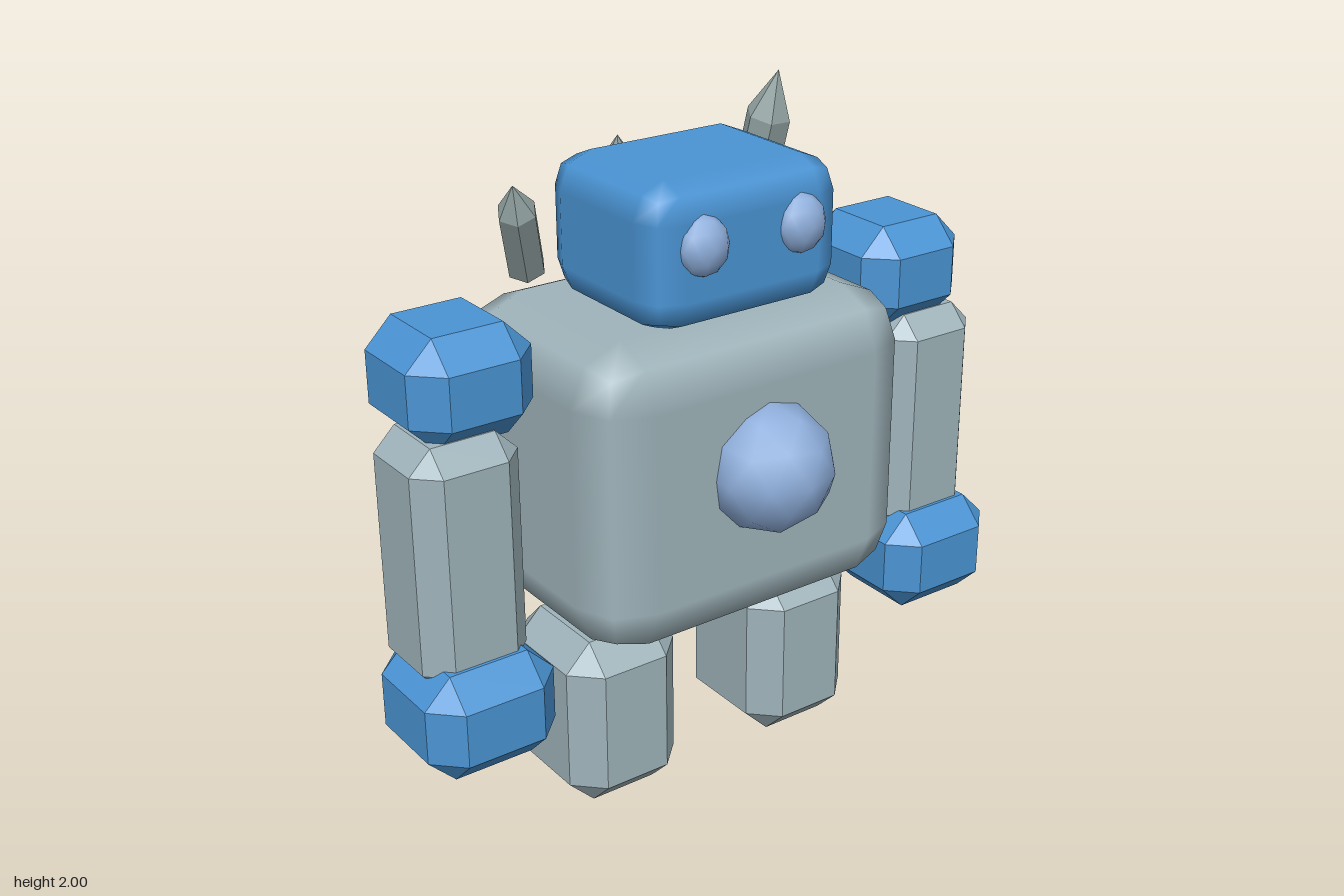
import * as THREE from 'three';
import { RoundedBoxGeometry } from 'three/addons/geometries/RoundedBoxGeometry.js';
import { ConvexGeometry } from 'three/addons/geometries/ConvexGeometry.js';

const mat = (name, color) => {
  const m = new THREE.MeshStandardMaterial({ color });
  m.name = name;
  return m;
};

// Box with flat 45 degree cuts along every edge
function chamferBox(w, h, d, c) {
  const half = [w / 2, h / 2, d / 2];
  const points = [];
  for (const sx of [-1, 1]) for (const sy of [-1, 1]) for (const sz of [-1, 1]) {
    for (let axis = 0; axis < 3; axis++) {
      const p = half.map((v, i) => (i === axis ? v : v - c));
      points.push(new THREE.Vector3(p[0] * sx, p[1] * sy, p[2] * sz));
    }
  }
  return new ConvexGeometry(points);
}

export function createModel() {
  const model = new THREE.Group();
  model.name = 'robot';
  const stone = mat('stone grey', 0x9fb4bb);
  const blue = mat('bright blue', 0x4a94d4);
  const glow = mat('pale blue', 0x8fafdc);
  const crystal = mat('crystal grey', 0x98a8a8);
  crystal.flatShading = true;

  const add = (name, geometry, material, x, y, z, parent = model) => {
    const mesh = new THREE.Mesh(geometry, material);
    mesh.name = name;
    mesh.position.set(x, y, z);
    parent.add(mesh);
    return mesh;
  };

  // Body and head with two-step rounded edges
  add('body', new RoundedBoxGeometry(1.06, 0.9, 0.795, 1, 0.16), stone, 0, 1.015, -0.0925);
  add('head', new RoundedBoxGeometry(0.635, 0.41, 0.54, 1, 0.1), blue, 0, 1.66, -0.04);

  // Low-poly ball standing on one of its corners
  const ball = new THREE.IcosahedronGeometry(1, 1);
  ball.rotateZ(-Math.atan(2 / (1 + Math.sqrt(5))));
  add('chestCore', ball, glow, 0, 1.065, 0.305).scale.setScalar(0.186);

  // Mirrored eyes, arms and legs
  const shoulder = chamferBox(0.367, 0.31, 0.375, 0.08);
  const arm = chamferBox(0.32, 0.71, 0.32, 0.065);
  const hand = chamferBox(0.397, 0.32, 0.4, 0.08);
  const leg = chamferBox(0.368, 0.53, 0.42, 0.08);
  for (const [side, s] of [['left', 1], ['right', -1]]) {
    add(side + 'Eye', ball, glow, 0.16 * s, 1.7, 0.22).scale.set(0.077, 0.085, 0.06);
    add(side + 'Shoulder', shoulder, blue, 0.743 * s, 1.385, -0.092);
    add(side + 'Arm', arm, stone, 0.796 * s, 0.91, -0.04);
    add(side + 'Hand', hand, blue, 0.797 * s, 0.48, 0.01);
    add(side + 'Leg', leg, stone, 0.32 * s, 0.265, -0.09);
  }

  // Hexagonal crystals: closed prism with a pointed tip, running from base to tip
  const addCrystal = (name, base, tip, radius, pointLength) => {
    const from = new THREE.Vector3(...base);
    const axis = new THREE.Vector3(...tip).sub(from);
    const shaft = axis.length() - pointLength;
    const profile = [[0, 0], [radius, 0], [radius, shaft], [0, shaft + pointLength]]
      .map(([r, y]) => new THREE.Vector2(r, y));
    const geometry = new THREE.LatheGeometry(profile, 6, Math.PI / 6);
    add(name, geometry, crystal, ...base)
      .quaternion.setFromUnitVectors(new THREE.Vector3(0, 1, 0), axis.normalize());
  };
  addCrystal('leftCrystal', [0.38, 1.54, -0.3], [0.39, 2.0, -0.17], 0.066, 0.14);
  addCrystal('rightCrystal', [-0.365, 1.53, -0.32], [-0.475, 1.815, -0.19], 0.056, 0.1);
  addCrystal('backCrystal', [0.01, 1.545, -0.42], [-0.05, 1.85, -0.33], 0.056, 0.1);

  return model;
}
